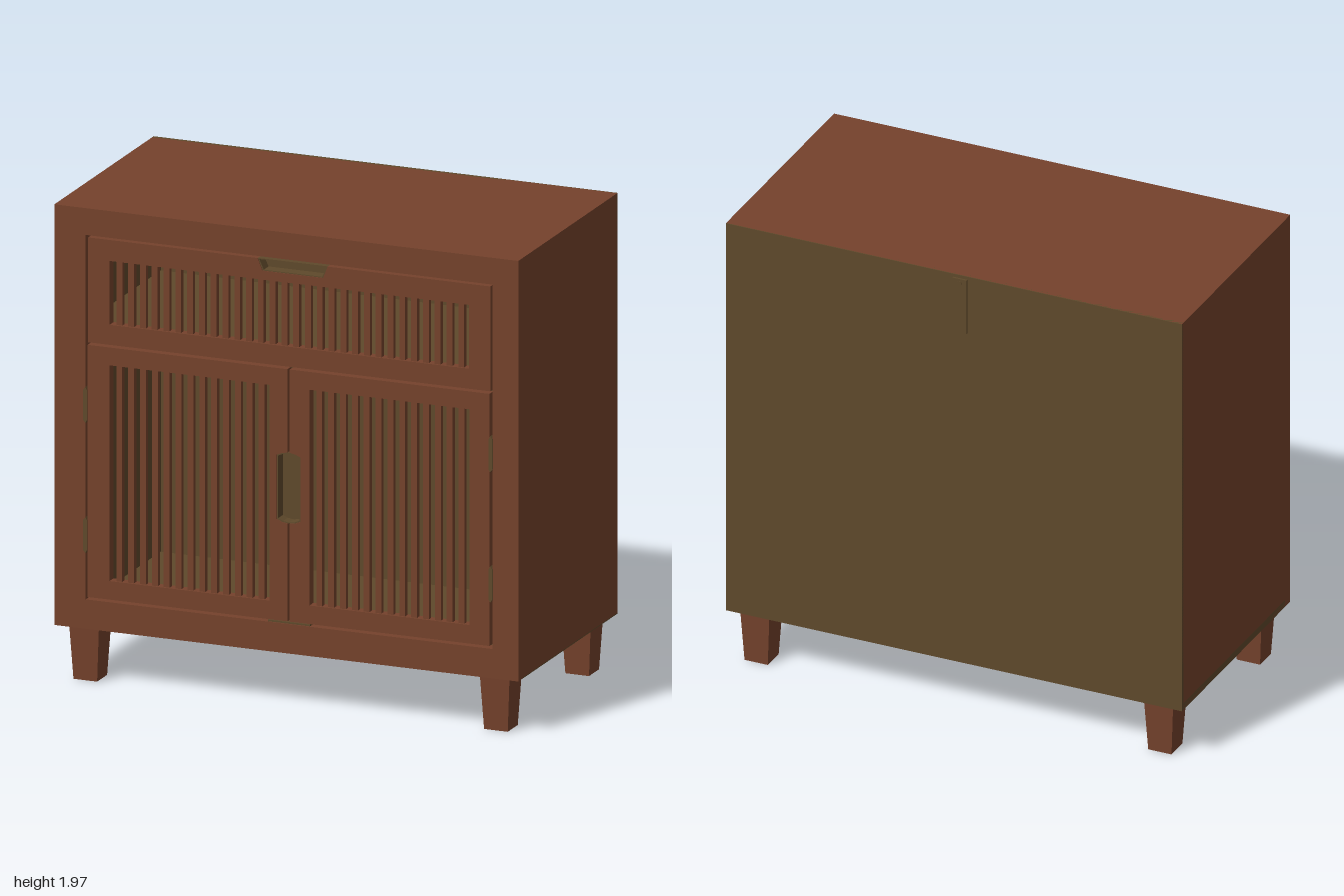
import * as THREE from 'three';

const CX = 0.0125; // centre line of the doors
const FRONT = 0.507;

export function createModel() {
  const root = new THREE.Group();
  root.name = 'cabinet';
  const wood = new THREE.MeshStandardMaterial({ name: 'reddish brown wood', color: 0x75422c });
  const olive = new THREE.MeshStandardMaterial({ name: 'olive brown', color: 0x5f492b });

  const add = (name, geo, mat, parent = root) => {
    const m = new THREE.Mesh(geo, mat);
    m.name = name;
    parent.add(m);
    return m;
  };
  // Box given by its limits on each axis
  const box = (name, mat, x0, x1, y0, y1, z0, z1, parent) => {
    const g = new THREE.BoxGeometry(x1 - x0, y1 - y0, z1 - z0);
    g.translate((x0 + x1) / 2, (y0 + y1) / 2, (z0 + z1) / 2);
    return add(name, g, mat, parent);
  };
  const vecs = (pts) => pts.map(([x, y]) => new THREE.Vector2(x, y));
  const rect = (x0, x1, y0, y1) => [[x0, y0], [x1, y0], [x1, y1], [x0, y1]];
  // Board cut from an outline with holes, between two depths
  const board = (name, mat, outline, holes, z0, z1, parent) => {
    const s = new THREE.Shape(vecs(outline));
    holes.forEach((h) => s.holes.push(new THREE.Path(vecs(h))));
    const g = new THREE.ExtrudeGeometry(s, { depth: z1 - z0, bevelEnabled: false });
    g.translate(0, 0, z0);
    return add(name, g, mat, parent);
  };

  // Carcass
  box('top', wood, -1, 1, 1.93, 1.973, -0.501, 0.46);
  for (const s of [-1, 1]) {
    const side = (name, mat, a, b, y0, y1, z0) =>
      box(name, mat, Math.min(s * a, s * b), Math.max(s * a, s * b), y0, y1, z0, 0.46);
    side('sidePanel', wood, 0.97, 1, 0.232, 1.93, -0.501);
    side('sideLining', olive, 0.963, 0.97, 0.258, 1.93, -0.49);
  }
  box('topLining', olive, -0.963, 0.963, 1.923, 1.93, -0.49, 0.46);
  box('bottomPanel', olive, -1, 1, 0.228, 0.258, -0.501, 0.46);
  box('backPanel', olive, -1, 1, 0.228, 1.973, -0.505, -0.49);
  box('drawerDivider', olive, -0.963, 0.963, 1.4, 1.425, -0.49, 0.46);
  board('faceFrame', wood, rect(-1, 1, 0.228, 1.973), [rect(-0.865, 0.888, 0.35, 1.862)], 0.46, 0.51);

  // Row of vertical slats filling an opening
  const slats = (parent, x0, x1, y0, y1, count) => {
    const w = (x1 - x0) / (2 * count + 1);
    for (let i = 0; i < count; i++) {
      const x = x0 + w * (2 * i + 1);
      box('slat', wood, x, x + w, y0 - 0.01, y1 + 0.01, 0.475, 0.498, parent);
    }
  };
  // Recessed pull: rim and back plate
  const cup = (name, pts, cx, cy, kx, ky) => {
    const hole = pts.map(([x, y]) => [cx + (x - cx) * kx, cy + (y - cy) * ky]);
    const g = new THREE.Group();
    g.name = name;
    root.add(g);
    board('pullRim', olive, pts, [hole], 0.455, FRONT - 0.003, g);
    board('pullBack', olive, pts, [], 0.449, 0.455, g);
  };

  // Drawer front with a trapezoid notch in its upper edge
  const drawer = new THREE.Group();
  drawer.name = 'drawer';
  root.add(drawer);
  const notch = [[-0.125, 1.852], [-0.105, 1.802], [0.157, 1.802], [0.177, 1.852]];
  board('drawerFront', wood,
    [[-0.855, 1.417], [0.878, 1.417], [0.878, 1.852], ...notch.slice().reverse(), [-0.855, 1.852]],
    [rect(-0.763, 0.787, 1.5, 1.765)], 0.465, FRONT, drawer);
  slats(drawer, -0.763, 0.787, 1.5, 1.765, 30);
  cup('drawerPull', notch, 0.026, 1.827, 0.96, 0.84);

  // Pair of mirrored doors sharing one cut-out pull
  const halfPull = [[0, 0.765], [0.028, 0.769], [0.051, 0.779], [0.051, 1.046], [0.028, 1.056], [0, 1.06]];
  for (const s of [-1, 1]) {
    const X = (x) => CX - 0.004 + s * x;
    const door = new THREE.Group();
    door.name = s > 0 ? 'leftDoor' : 'rightDoor';
    root.add(door);
    const edge = halfPull.map(([x, y]) => [Math.max(x, 0.005), y]).reverse();
    const outline = [[0.005, 0.36], [0.866, 0.36], [0.866, 1.406], [0.005, 1.406], ...edge];
    const ends = [CX + s * 0.086, CX + s * 0.776].sort((p, q) => p - q);
    board('doorFrame', wood, outline.map(([x, y]) => [X(x), y]), [rect(...ends, 0.437, 1.332)], 0.465, FRONT, door);
    slats(door, ...ends, 0.437, 1.332, 13);

    // Hinge plates with clipped corners
    for (const y of [0.543, 1.083]) {
      const hinge = [[0.866, y + 0.012], [0.872, y], [0.882, y + 0.012], [0.882, y + 0.138],
        [0.872, y + 0.15], [0.866, y + 0.138]];
      board('hinge', olive, hinge.map(([x, v]) => [X(x), v]), [], 0.47, 0.516, door);
    }
  }
  const pull = [...halfPull, ...halfPull.slice(1, -1).reverse().map(([x, y]) => [-x, y])]
    .map(([x, y]) => [CX - 0.004 + x, y]);
  cup('doorPull', pull, CX - 0.004, 0.9125, 0.9, 0.97);
  box('doorCatch', olive, -0.08, 0.1, 0.35, 0.357, 0.46, 0.505);

  // Tapered square legs
  for (const x of [-0.885, 0.885]) {
    for (const z of [-0.415, 0.415]) {
      const g = new THREE.CylinderGeometry(0.064 * Math.SQRT2, 0.051 * Math.SQRT2, 0.228, 4).toNonIndexed();
      g.rotateY(Math.PI / 4);
      g.computeVertexNormals();
      add('leg', g, wood).position.set(x, 0.114, z);
    }
  }

  // Wall strap with screw on the back
  box('wallStrap', olive, -0.06, 0.003, 1.72, 1.96, -0.513, -0.505);
  const screw = new THREE.CylinderGeometry(0.01, 0.01, 0.005, 12);
  screw.rotateX(Math.PI / 2);
  add('strapScrew', screw, olive).position.set(-0.028, 1.94, -0.514);

  return root;
}
